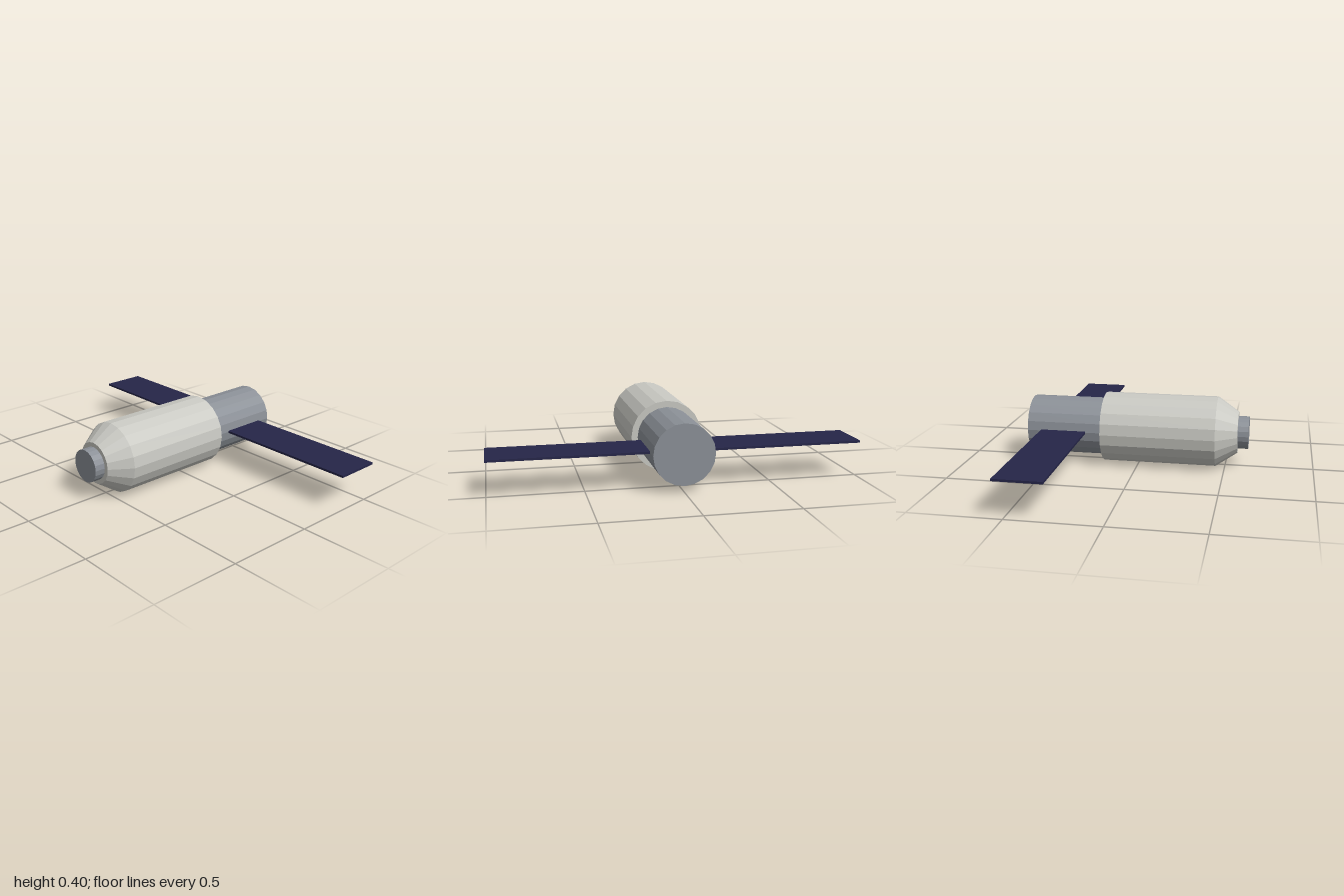
import * as THREE from 'three';

const SIDES = 20;
const AXIS_Y = 0.2; // height of the long axis

export function createModel() {
  const group = new THREE.Group();
  const material = (name, color) =>
    new THREE.MeshStandardMaterial({ name, color, flatShading: true });
  const hullGrey = material('light hull grey', 0xc8c8c2);
  const steelGrey = material('steel grey', 0x8b9097);
  const panelBlue = material('dark panel blue', 0x252548);

  const add = (name, geometry, mat, x, y, z) => {
    const mesh = new THREE.Mesh(geometry, mat);
    mesh.name = name;
    mesh.position.set(x, y, z);
    group.add(mesh);
  };

  // Round section lying along z
  const section = (name, backZ, frontZ, backR, frontR, mat) => {
    const geometry = new THREE.CylinderGeometry(frontR, backR, frontZ - backZ, SIDES);
    geometry.rotateX(Math.PI / 2);
    add(name, geometry, mat, 0, AXIS_Y, (backZ + frontZ) / 2);
  };

  section('serviceModule', -0.63, -0.2, 0.165, 0.165, steelGrey);
  section('mainHull', -0.2, 0.45, 0.2, 0.2, hullGrey);
  section('noseCone', 0.45, 0.57, 0.2, 0.118, hullGrey);
  section('dockingPort', 0.57, 0.63, 0.093, 0.093, steelGrey);

  // Solar panels, rooted just inside the service module
  const rootX = 0.155;
  for (const [name, side] of [['leftSolarPanel', 1], ['rightSolarPanel', -1]]) {
    const geometry = new THREE.BoxGeometry(1 - rootX, 0.012, 0.26);
    add(name, geometry, panelBlue, side * (1 + rootX) / 2, AXIS_Y, -0.42);
  }

  return group;
}
